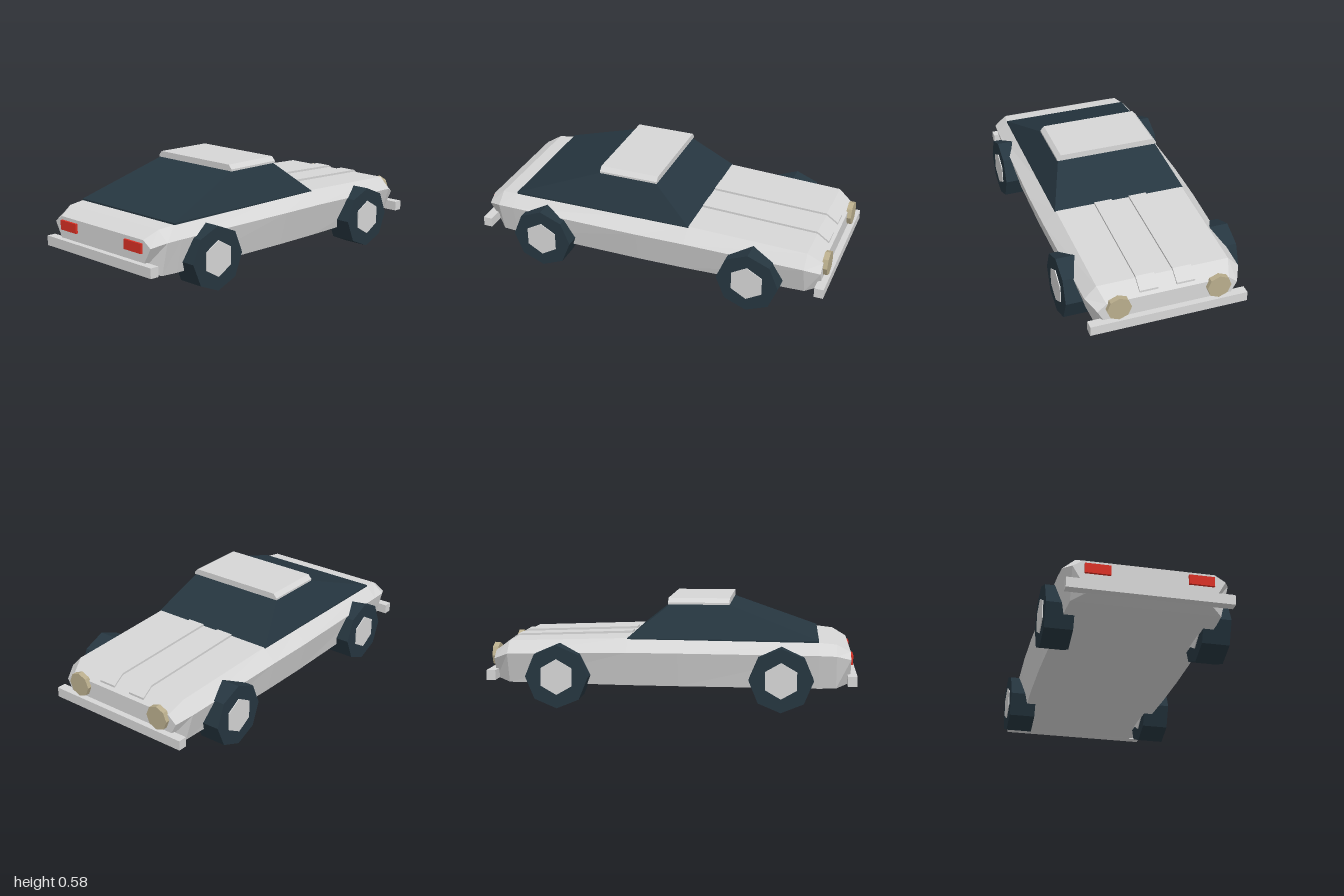
import * as THREE from 'three';

const mat = (name, color) => {
  const m = new THREE.MeshStandardMaterial({ color });
  m.name = name;
  return m;
};

// Skins a list of equal rings, each counter-clockwise seen from outside the first ring
function loft(rings) {
  const pos = [];
  const tri = (...pts) => pts.forEach((p) => pos.push(...p));
  const n = rings[0].length;
  const last = rings[rings.length - 1];
  for (let i = 0; i < rings.length - 1; i++) {
    for (let j = 0; j < n; j++) {
      const k = (j + 1) % n;
      const a = rings[i][j], b = rings[i][k], c = rings[i + 1][k], d = rings[i + 1][j];
      tri(a, d, c);
      tri(a, c, b);
    }
  }
  for (let j = 1; j < n - 1; j++) {
    tri(rings[0][0], rings[0][j], rings[0][j + 1]);
    tri(last[0], last[j + 1], last[j]);
  }
  const g = new THREE.BufferGeometry();
  g.setAttribute('position', new THREE.Float32BufferAttribute(pos, 3));
  g.computeVertexNormals();
  return g;
}

// Six-sided body section: half widths and heights of the sill, waist and shoulder
const section = ([z, x0, y0, x1, y1, x2, y2]) => [
  [x0, y0, z], [x1, y1, z], [x2, y2, z], [-x2, y2, z], [-x1, y1, z], [-x0, y0, z],
];

// Level rectangle used for the cabin and the roof
const rect = (x, y, zBack, zFront) => [
  [x, y, zBack], [x, y, zFront], [-x, y, zFront], [-x, y, zBack],
];

export function createModel() {
  const paint = mat('silver paint', 0xd6d6d6);
  const dark = mat('dark glass and rubber', 0x263640);
  const red = mat('red lamp', 0xd93025);
  const tan = mat('tan lamp', 0xb9ad8c);

  const car = new THREE.Group();
  car.name = 'car';
  const add = (name, geometry, material, x = 0, y = 0, z = 0, parent = car) => {
    const mesh = new THREE.Mesh(geometry, material);
    mesh.name = name;
    mesh.position.set(x, y, z);
    parent.add(mesh);
    return mesh;
  };

  // Body shell, from the tail (+z) to the nose (-z)
  add('body', loft([
    [0.967, 0.31, 0.14, 0.39, 0.275, 0.335, 0.31],
    [0.89, 0.385, 0.12, 0.428, 0.297, 0.362, 0.353],
    [0.8, 0.39, 0.118, 0.433, 0.3, 0.373, 0.362],
    [0.05, 0.397, 0.118, 0.446, 0.303, 0.371, 0.368],
    [-0.23, 0.393, 0.118, 0.442, 0.302, 0.368, 0.372],
    [-0.885, 0.37, 0.12, 0.42, 0.283, 0.357, 0.348],
    [-0.967, 0.32, 0.14, 0.378, 0.25, 0.33, 0.29],
  ].map(section)), paint);

  // Glass cabin with a short skirt, and the roof slab with bevelled sides
  add('cabin', loft([
    rect(0.283, 0.552, 0.305, -0.005),
    rect(0.374, 0.371, 0.797, -0.232),
    rect(0.374, 0.355, 0.797, -0.232),
  ]), dark);
  add('roof', loft([
    rect(0.27, 0.583, 0.316, -0.018),
    rect(0.291, 0.56, 0.316, -0.018),
    rect(0.291, 0.549, 0.316, -0.018),
  ]), paint);

  // Raised hood strips that bend down over the nose
  const strip = [[-0.235, 0.384], [-0.885, 0.359], [-0.95, 0.313]];
  for (const x of [-0.1, 0.1]) {
    const across = ([z, y]) => [
      [x + 0.05, y - 0.03, z], [x + 0.05, y, z], [x - 0.05, y, z], [x - 0.05, y - 0.03, z],
    ];
    add('hoodStrip', loft(strip.map(across)), paint);
  }

  // Bumpers at both ends
  const bumper = new THREE.BoxGeometry(0.854, 0.054, 0.05);
  add('rearBumper', bumper, paint, 0, 0.165, 0.975);
  add('frontBumper', bumper, paint, 0, 0.165, -0.975);

  // Lamps and wheels, mirrored left and right
  const tailLamp = new THREE.BoxGeometry(0.132, 0.052, 0.03);
  const headLamp = new THREE.CylinderGeometry(0.066, 0.066, 0.03, 8).toNonIndexed();
  headLamp.rotateX(Math.PI / 2).computeVertexNormals();
  const tyre = new THREE.CylinderGeometry(0.171, 0.171, 0.148, 8).toNonIndexed();
  tyre.rotateZ(Math.PI / 2).computeVertexNormals();
  const hub = new THREE.CylinderGeometry(0.097, 0.097, 0.158, 6).toNonIndexed();
  hub.rotateY(Math.PI / 2).rotateZ(Math.PI / 2).computeVertexNormals();

  for (const side of [-1, 1]) {
    add('tailLamp', tailLamp, red, side * 0.264, 0.266, 0.965);
    add('headLamp', headLamp, tan, side * 0.27, 0.26, -0.975);
    for (const z of [-0.6, 0.6]) {
      const wheel = new THREE.Group();
      wheel.name = z > 0 ? 'rearWheel' : 'frontWheel';
      wheel.position.set(side * 0.409, 0.171, z);
      add('tyre', tyre, dark, 0, 0, 0, wheel);
      add('hub', hub, paint, 0, 0, 0, wheel);
      car.add(wheel);
    }
  }
  return car;
}
